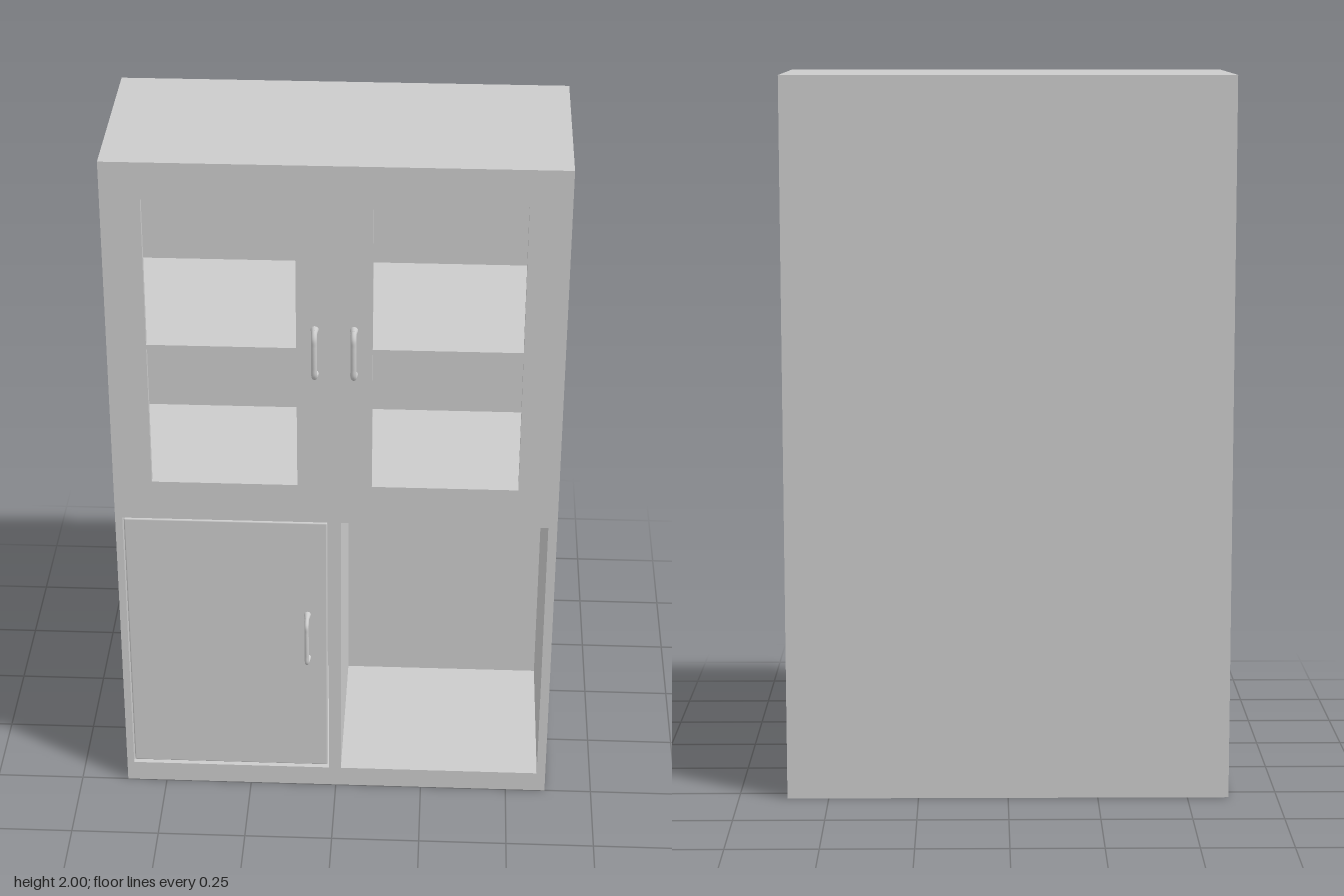
import * as THREE from 'three';
import { RoundedBoxGeometry } from 'three/addons/geometries/RoundedBoxGeometry.js';

const grey = new THREE.MeshStandardMaterial({ color: 0xcccccc });
const W = 0.615, H = 2, BACK = -0.3, FRONT = 0.25;

function add(parent, name, geometry) {
  const mesh = new THREE.Mesh(geometry, grey);
  mesh.name = name;
  parent.add(mesh);
  return mesh;
}

// Upright slab between two depths, with rectangular openings [x0, x1, y0, y1]
function slab(z0, z1, openings) {
  const shape = new THREE.Shape();
  shape.moveTo(-W, 0).lineTo(W, 0).lineTo(W, H).lineTo(-W, H).closePath();
  for (const [x0, x1, y0, y1] of openings) {
    const hole = new THREE.Path();
    hole.moveTo(x0, y0).lineTo(x0, y1).lineTo(x1, y1).lineTo(x1, y0).closePath();
    shape.holes.push(hole);
  }
  return new THREE.ExtrudeGeometry(shape, { depth: z1 - z0, bevelEnabled: false }).translate(0, 0, z0);
}

// Bow handle: a bent rod with a flared foot at each end
function handle(name, x, y, height, reach, radius, flare) {
  const group = new THREE.Group();
  group.name = name;
  group.position.set(x, y, FRONT);
  const h = height / 2 - radius;
  const path = new THREE.CatmullRomCurve3([
    [-h, -0.003], [-h, reach * 0.45], [-h + 0.012, reach - radius - 0.002],
    [-h + 0.035, reach - radius], [h - 0.035, reach - radius],
    [h - 0.012, reach - radius - 0.002], [h, reach * 0.45], [h, -0.003],
  ].map(([py, pz]) => new THREE.Vector3(0, py, pz)), false, 'centripetal');
  add(group, 'handleRod', new THREE.TubeGeometry(path, 48, radius, 12));
  for (const s of [-1, 1]) {
    const foot = add(group, 'handleFoot', new THREE.CylinderGeometry(radius, flare, reach * 0.5, 16));
    foot.rotation.x = Math.PI / 2;
    foot.position.set(0, s * h, reach * 0.25);
  }
  return group;
}

export function createModel() {
  const model = new THREE.Group();
  model.name = 'cabinet';

  const lower = [[-0.595, -0.02, 0.062, 0.915], [0.015, 0.59, 0.062, 0.915]];
  const upper = [[-0.595, -0.02, 0.985, 1.94], [0.015, 0.59, 0.985, 1.94]];
  const panes = [];
  for (const [x0, x1] of [[-0.508, -0.105], [0.1, 0.503]]) {
    panes.push([x0, x1, 1.035, 1.45], [x0, x1, 1.465, 1.895]);
  }

  // Carcass: closed back, hollow compartments, front face with windows
  add(model, 'backPanel', slab(BACK, -0.265, []));
  add(model, 'carcass', slab(-0.265, 0.23, [...lower, ...upper]));
  add(model, 'frontFrame', slab(0.23, FRONT, [...lower, ...panes]));

  // Shelf in each upper compartment
  for (const [x0, x1] of upper) {
    const shelf = add(model, 'shelf', new THREE.BoxGeometry(x1 - x0, 0.015, 0.495));
    shelf.position.set((x0 + x1) / 2, 1.4575, -0.0175);
  }

  // Lower door set into the opening on one side
  const door = add(model, 'lowerDoor', new RoundedBoxGeometry(0.568, 0.84, 0.022, 3, 0.004));
  door.position.set(-0.3075, 0.491, 0.238);

  // Handles
  model.add(handle('upperHandleRight', -0.055, 1.455, 0.15, 0.04, 0.008, 0.011));
  model.add(handle('upperHandleLeft', 0.05, 1.455, 0.15, 0.04, 0.008, 0.011));
  model.add(handle('lowerHandle', -0.08, 0.53, 0.16, 0.05, 0.006, 0.01));
  return model;
}
